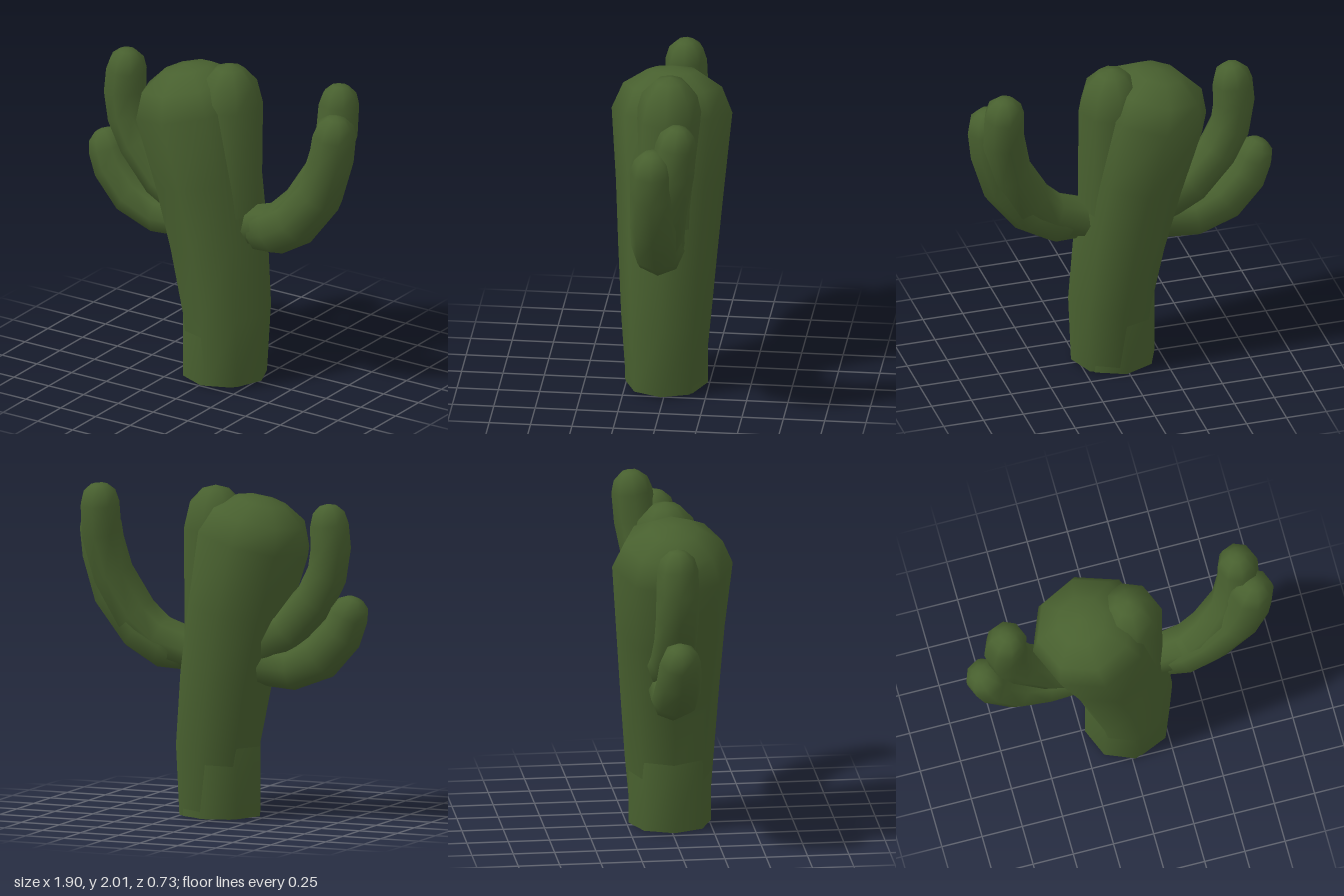
import * as THREE from 'three';

const SIDES = 8;
const UP_Z = new THREE.Vector3(0, 0, 1);

// Loft of eight-sided rings [x, y, z, radius] along a path, closed by a rounded cap.
function limb(name, material, path, capHeight, closedRoot = false) {
  const centers = path.map(([x, y, z]) => new THREE.Vector3(x, y, z));
  const last = path.length - 1;
  const rings = path.map(([, , , radius], i) => {
    const tangent = centers[Math.min(i + 1, last)].clone()
      .sub(centers[Math.max(i - 1, 0)]).normalize();
    return { center: centers[i], radius, tangent };
  });
  const end = rings[last];
  const along = (ring, d) => ring.center.clone().addScaledVector(ring.tangent, d);

  // Dome rings
  for (const degrees of [35, 65]) {
    const a = THREE.MathUtils.degToRad(degrees);
    rings.push({
      center: along(end, capHeight * Math.sin(a)),
      radius: end.radius * Math.cos(a),
      tangent: end.tangent,
    });
  }

  const positions = [];
  const index = [];
  for (const { center, radius, tangent } of rings) {
    const u = new THREE.Vector3().crossVectors(tangent, UP_Z).normalize();
    const v = new THREE.Vector3().crossVectors(u, tangent);
    for (let j = 0; j < SIDES; j++) {
      const a = (j / SIDES) * Math.PI * 2;
      const p = center.clone()
        .addScaledVector(u, radius * Math.cos(a))
        .addScaledVector(v, radius * Math.sin(a));
      positions.push(p.x, p.y, p.z);
    }
  }
  for (let i = 0; i < rings.length - 1; i++) {
    for (let j = 0; j < SIDES; j++) {
      const a = i * SIDES + j;
      const b = i * SIDES + (j + 1) % SIDES;
      index.push(a, a + SIDES, b, b, a + SIDES, b + SIDES);
    }
  }

  // Tip, and an optional blunt root
  const addPole = (point, ringStart, flip) => {
    const pole = positions.length / 3;
    positions.push(point.x, point.y, point.z);
    for (let j = 0; j < SIDES; j++) {
      const a = ringStart + j;
      const b = ringStart + (j + 1) % SIDES;
      index.push(...(flip ? [b, pole, a] : [a, pole, b]));
    }
  };
  addPole(along(end, capHeight), (rings.length - 1) * SIDES, false);
  if (closedRoot) addPole(along(rings[0], -0.03), 0, true);

  const geometry = new THREE.BufferGeometry();
  geometry.setAttribute('position', new THREE.Float32BufferAttribute(positions, 3));
  geometry.setIndex(index);
  geometry.computeVertexNormals();
  const mesh = new THREE.Mesh(geometry, material);
  mesh.name = name;
  return mesh;
}

export function createModel() {
  const green = new THREE.MeshStandardMaterial({ color: 0x48602f, side: THREE.DoubleSide });
  green.name = 'cactus green';

  const model = new THREE.Group();
  model.name = 'cactus';

  // Two overlapping trunks, open underneath
  model.add(limb('leaningTrunk', green, [
    [0.06, 0, 0.015, 0.235],
    [0.045, 0.42, 0.01, 0.27],
    [-0.015, 0.85, 0.005, 0.3],
    [-0.095, 1.25, 0, 0.328],
    [-0.195, 1.68, 0, 0.365],
  ], 0.27));
  model.add(limb('uprightTrunk', green, [
    [0.02, 0, 0.01, 0.25],
    [0.02, 0.45, 0.01, 0.25],
    [0.055, 1.2, 0, 0.2],
    [0.05, 1.74, -0.01, 0.205],
  ], 0.26));

  // Right side arms
  model.add(limb('rightUpperArm', green, [
    [-0.15, 1.0, -0.03, 0.14],
    [-0.44, 1.15, -0.03, 0.135],
    [-0.61, 1.34, -0.03, 0.13],
    [-0.69, 1.5, -0.03, 0.13],
    [-0.715, 1.66, -0.03, 0.13],
    [-0.705, 1.8, -0.03, 0.125],
  ], 0.13));
  model.add(limb('rightLowerArm', green, [
    [-0.15, 0.93, -0.03, 0.12],
    [-0.46, 0.915, -0.03, 0.13],
    [-0.65, 1.0, -0.03, 0.143],
    [-0.79, 1.15, -0.03, 0.135],
    [-0.835, 1.26, -0.03, 0.125],
  ], 0.12));

  // Left side pair of arms sharing one root
  model.add(limb('leftFrontArm', green, [
    [0.26, 0.97, 0.02, 0.115],
    [0.38, 1.01, 0.015, 0.155],
    [0.54, 1.1, 0.01, 0.155],
    [0.71, 1.31, 0.005, 0.148],
    [0.79, 1.55, 0.005, 0.14],
    [0.812, 1.71, 0.005, 0.135],
  ], 0.135, true));
  model.add(limb('leftBackArm', green, [
    [0.15, 0.98, 0, 0.12],
    [0.42, 1.05, 0, 0.14],
    [0.57, 1.19, -0.02, 0.14],
    [0.7, 1.43, -0.06, 0.132],
    [0.755, 1.68, -0.11, 0.13],
    [0.757, 1.86, -0.13, 0.125],
  ], 0.13));

  return model;
}
